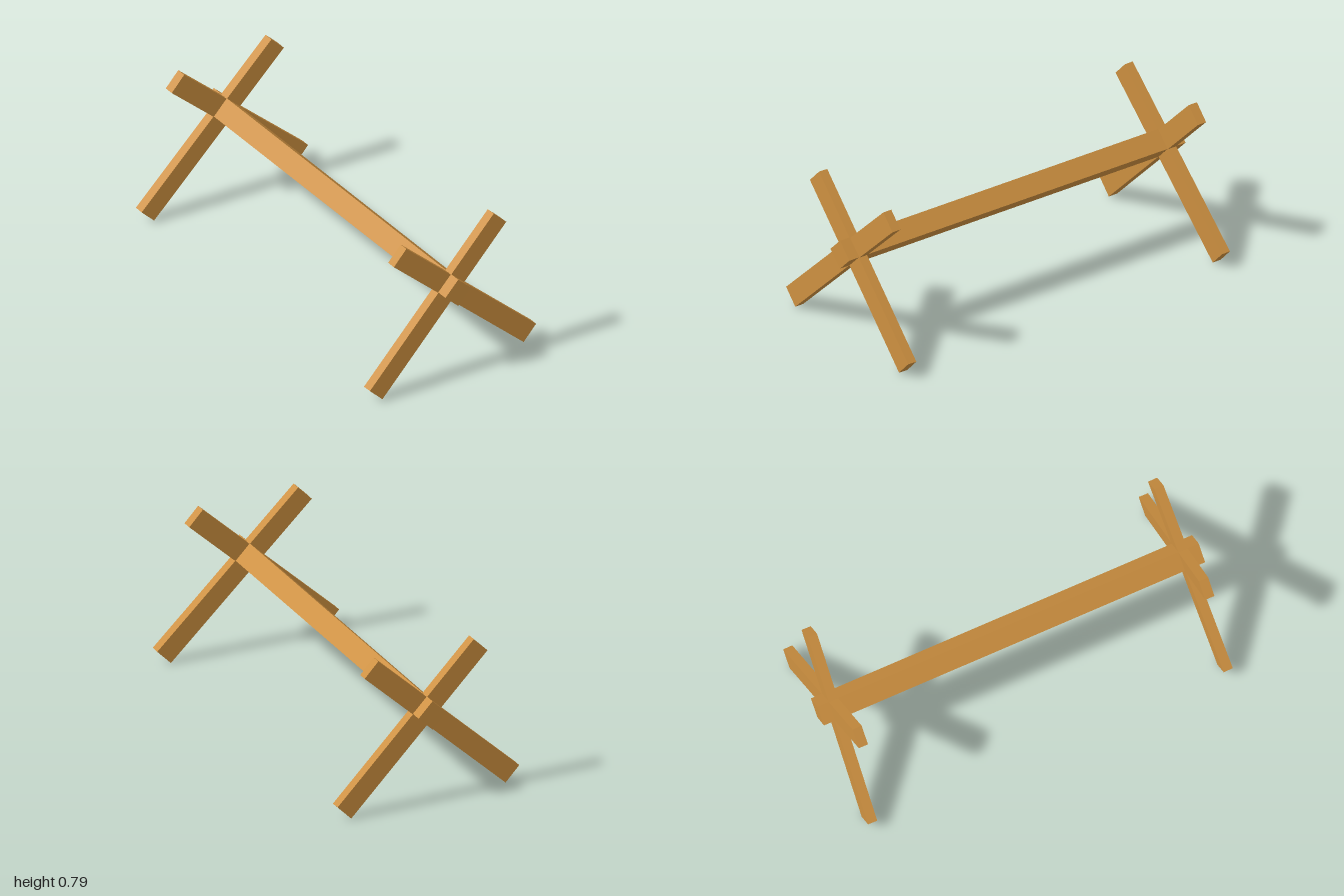
import * as THREE from 'three';

export function createModel() {
  const group = new THREE.Group();
  const wood = new THREE.MeshStandardMaterial({ color: 0xcd9040, flatShading: true });

  // long square beam resting on its edge in the crossed legs
  const beam = new THREE.Mesh(new THREE.BoxGeometry(0.107, 0.107, 2), wood);
  beam.name = 'beam';
  beam.position.y = 0.475;
  beam.rotation.z = Math.PI / 4;
  group.add(beam);

  // a pair of crossed legs at each end, leaning slightly inward at the top
  const legGeometry = new THREE.BoxGeometry(1.034, 0.106, 0.048);
  const slope = 0.765;
  for (const end of [1, -1]) {
    const pair = new THREE.Group();
    pair.name = end > 0 ? 'frontLegs' : 'backLegs';
    for (const side of [1, -1]) {
      const leg = new THREE.Mesh(legGeometry, wood);
      leg.name = side > 0 ? 'legLeft' : 'legRight';
      leg.position.set(side * 0.0795, 0.397, end * 0.921);
      leg.rotation.set(0, end * 0.0233, side > 0 ? Math.PI - slope : slope, 'ZYX');
      pair.add(leg);
    }
    group.add(pair);
  }
  return group;
}
